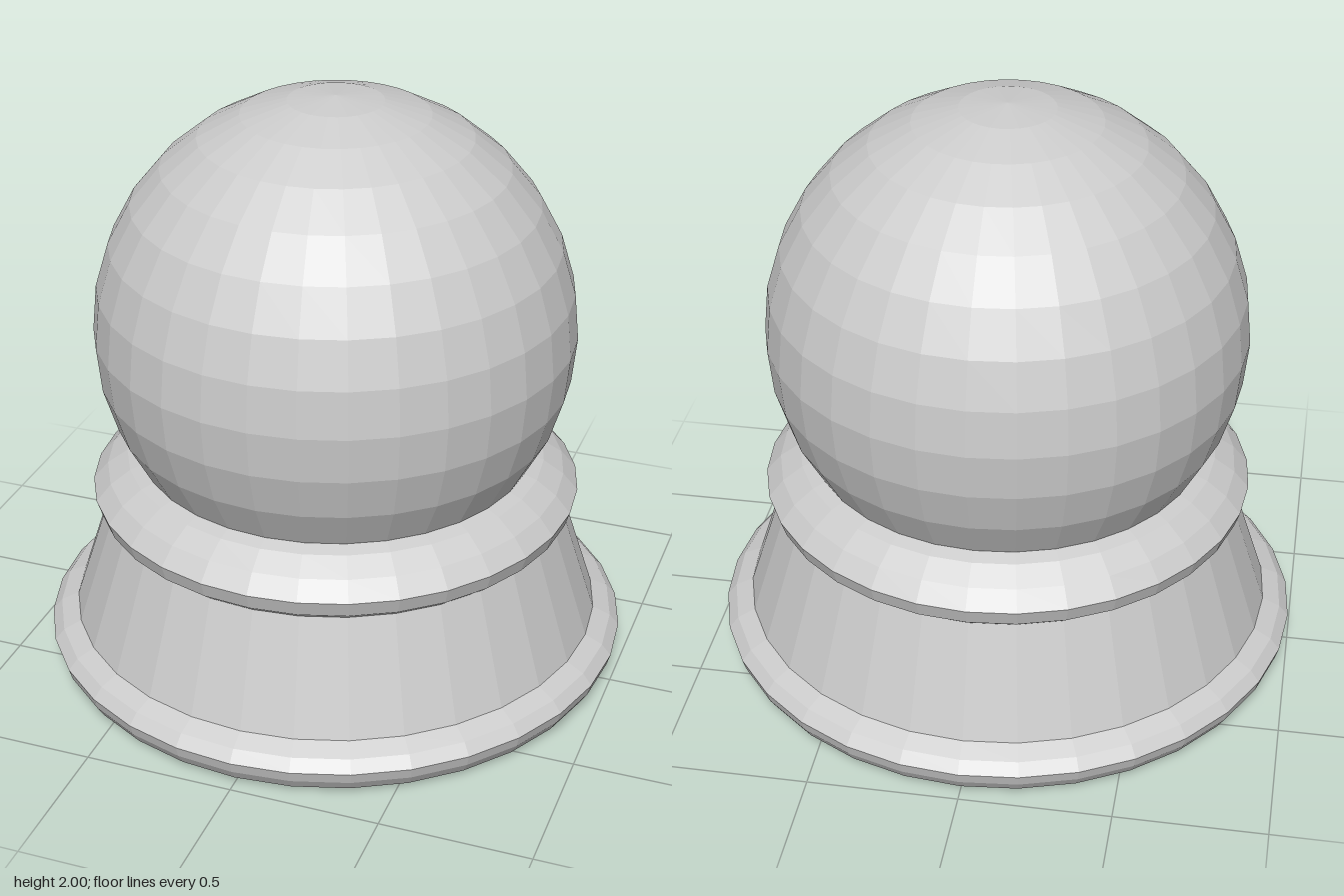
import * as THREE from 'three';

const SIDES = 32;

export function createModel() {
  const group = new THREE.Group();
  const material = new THREE.MeshStandardMaterial({ color: 0xcccccc, flatShading: true });

  const add = (name, geometry, y = 0) => {
    const mesh = new THREE.Mesh(geometry, material);
    mesh.name = name;
    mesh.position.y = y;
    group.add(mesh);
  };
  const lathe = (points) =>
    new THREE.LatheGeometry(points.map(([r, y]) => new THREE.Vector2(r, y)), SIDES);

  // Rounded foot ring with a recessed underside
  add('foot', lathe([
    [0, 0.08], [0.855, 0.08], [0.875, 0.035], [0.92, 0], [0.96, 0.02], [0.985, 0.06],
    [0.997, 0.1], [0.965, 0.137], [0.905, 0.165],
  ]));

  // Tapered pedestal between the two rings
  add('pedestal', lathe([[0.905, 0.165], [0.78, 0.55]]));

  // Collar that holds the ball
  add('collar', lathe([
    [0.78, 0.55], [0.81, 0.575], [0.828, 0.63],
    [0.778, 0.688], [0.71, 0.735], [0.65, 0.755],
  ]));

  // Ball
  add('ball', new THREE.SphereGeometry(0.802, SIDES, 16), 1.198);

  return group;
}
